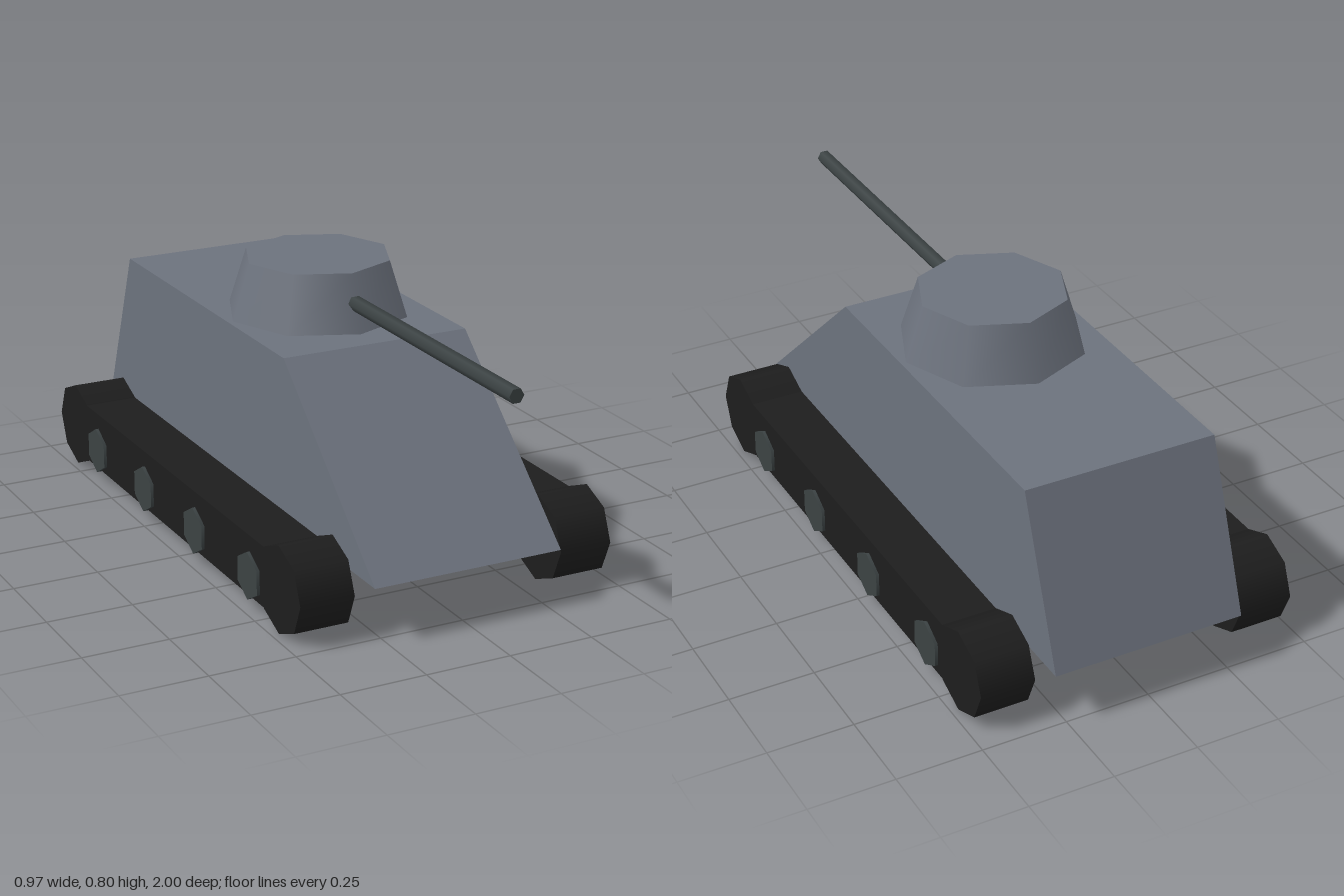
import * as THREE from 'three';

const material = (name, color, side = THREE.FrontSide) => {
  const m = new THREE.MeshStandardMaterial({ color, side });
  m.name = name;
  return m;
};

// Sloped shell without a floor: a box with its ends slanted and its underside left out
function hullGeometry() {
  const geometry = new THREE.BoxGeometry(0.57, 1, 1);
  const index = Array.from(geometry.index.array);
  index.splice(18, 6);
  geometry.setIndex(index);
  geometry.clearGroups();
  const p = geometry.attributes.position;
  for (let i = 0; i < p.count; i++) {
    const top = p.getY(i) > 0;
    const front = p.getZ(i) > 0;
    p.setY(i, top ? 0.637 : 0.162);
    p.setZ(i, front ? (top ? 0.248 : 0.783) : (top ? -0.822 : -1));
  }
  geometry.computeVertexNormals();
  return geometry;
}

export function createModel() {
  const armour = material('armour grey', 0x6c727d, THREE.DoubleSide);
  const rubber = material('track black', 0x1d1d1d);
  const steel = material('dark steel', 0x3b4243);

  const model = new THREE.Group();
  model.name = 'tank';
  const add = (parent, name, geometry, mat, x, y, z) => {
    const mesh = new THREE.Mesh(geometry, mat);
    mesh.name = name;
    mesh.position.set(x, y, z);
    parent.add(mesh);
  };

  // Hull, turret and gun
  add(model, 'hull', hullGeometry(), armour, 0, 0, 0);
  add(model, 'turret', new THREE.CylinderGeometry(0.217, 0.27, 0.165, 8), armour, 0, 0.7185, -0.11);
  const barrel = new THREE.CylinderGeometry(0.022, 0.022, 1, 6, 1, false, Math.PI / 2);
  barrel.rotateX(Math.PI / 2);
  add(model, 'gunBarrel', barrel, steel, 0, 0.719, 0.5);

  // Running gear, the same on each side
  const drum = new THREE.CylinderGeometry(0.128, 0.128, 0.16, 8).rotateZ(Math.PI / 2);
  const belt = new THREE.BoxGeometry(0.16, 0.178, 1.425);
  const wheel = new THREE.CylinderGeometry(0.07, 0.07, 0.03, 6, 1, false, Math.PI / 2).rotateZ(Math.PI / 2);
  for (const [side, label] of [[1, 'left'], [-1, 'right']]) {
    const track = new THREE.Group();
    track.name = label + 'Track';
    model.add(track);
    const x = side * 0.398;
    add(track, 'trackBelt', belt, rubber, x, 0.129, -0.109);
    add(track, 'frontDrum', drum, rubber, x, 0.128, 0.604);
    add(track, 'rearDrum', drum, rubber, x, 0.128, -0.822);
    for (let i = 0; i < 4; i++) {
      add(track, 'roadWheel', wheel, steel, side * 0.472, 0.102, 0.427 - i * 0.3567);
    }
  }
  return model;
}
